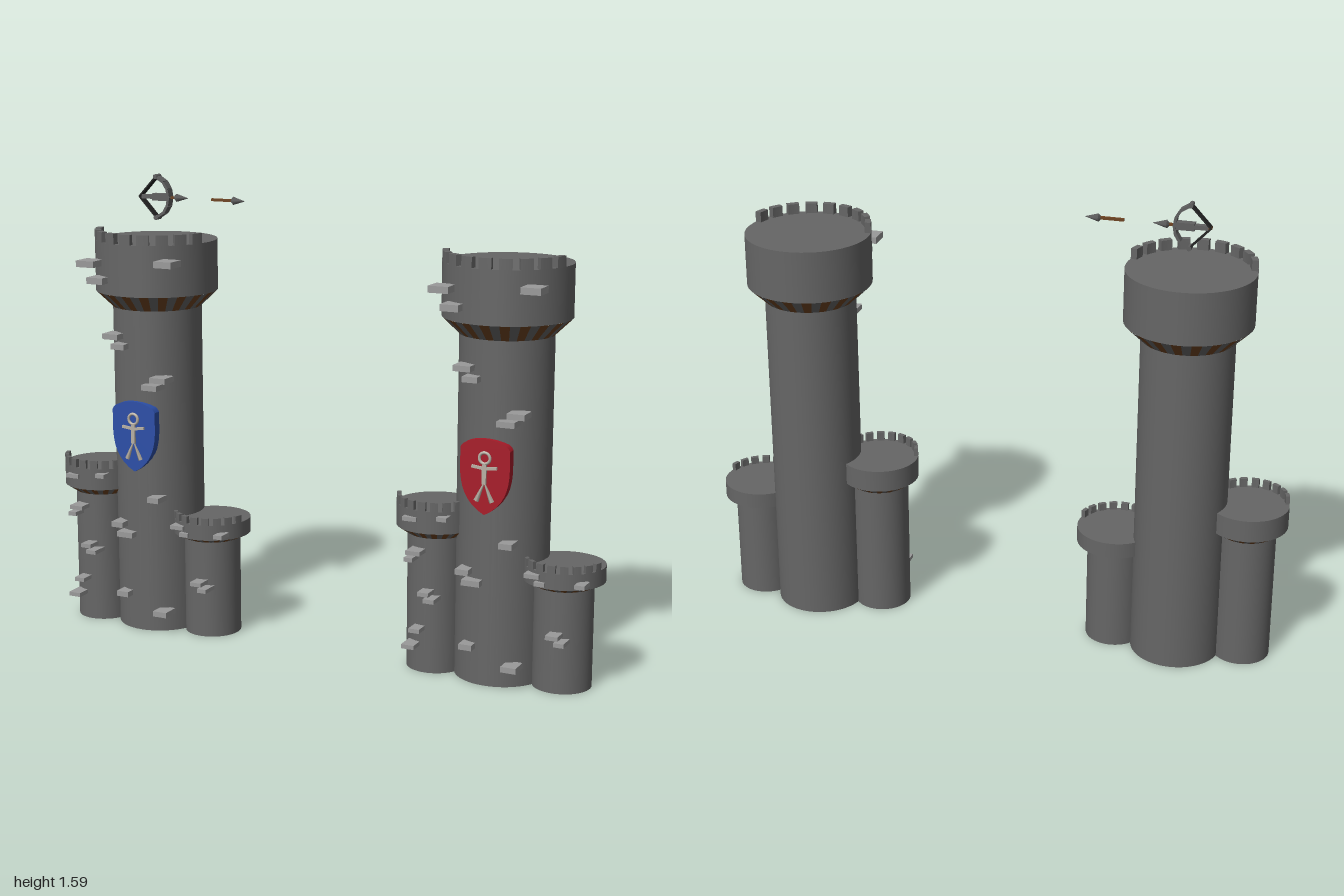
import * as THREE from 'three';

const mat = (color, side = THREE.FrontSide) => new THREE.MeshStandardMaterial({ color, side });
const stone = mat(0x666666);
const brickStone = mat(0x9a9a9a);
const wood = mat(0x6e4320);
const iron = mat(0x606060);
const cord = mat(0x222222);
const bone = mat(0xb8b0a4);

function add(parent, name, geometry, material, x = 0, y = 0, z = 0) {
  const mesh = new THREE.Mesh(geometry, material);
  mesh.name = name;
  mesh.position.set(x, y, z);
  parent.add(mesh);
  return mesh;
}

// Solid arc of a ring, centred on the direction `angle` (0 = +x, PI/2 = +z)
function ringBlock(r0, r1, angle, half, height) {
  const s = new THREE.Shape();
  s.absarc(0, 0, r1, -angle - half, -angle + half, false);
  s.absarc(0, 0, r0, -angle + half, -angle - half, true);
  const g = new THREE.ExtrudeGeometry(s, { depth: height, bevelEnabled: false, curveSegments: 4 });
  return g.rotateX(-Math.PI / 2);
}

// Round tower: shaft, striped flare, wide head, battlements along the front half
function tower(name, o) {
  const g = new THREE.Group();
  g.name = name;
  g.position.set(o.x, 0, o.z);
  add(g, 'shaft', new THREE.CylinderGeometry(o.r, o.r, o.flare, 48), stone, 0, o.flare / 2, 0);
  const fh = o.head - o.flare;
  const step = Math.PI / o.corbels;
  for (let i = 0; i < o.corbels * 2; i++) {
    const wedge = new THREE.CylinderGeometry(o.R, o.r, fh, 3, 1, true, (i - 0.5) * step, step);
    add(g, i % 2 ? 'flareStone' : 'flareCorbel', wedge, i % 2 ? stone : wood, 0, o.flare + fh / 2, 0);
  }
  const hh = o.top - o.head;
  add(g, 'head', new THREE.CylinderGeometry(o.R, o.R, hh, 48), stone, 0, o.head + hh / 2, 0);
  for (let i = 0; i < o.merlons; i++) {
    const a = THREE.MathUtils.degToRad(18 + (144 * i) / (o.merlons - 1));
    add(g, 'merlon', ringBlock(o.R * 0.9, o.R, a, 0.1, o.crest - o.top), stone, 0, o.top, 0);
  }
  return g;
}

// Bricks as [x, y, width], between two depths
function bricks(parent, list, back, front, height) {
  for (const [x, y, w] of list)
    add(parent, 'brick', new THREE.BoxGeometry(w, height, front - back), brickStone, x, y, (back + front) / 2);
}

// Heater shield with a simple standing figure
function shield(color) {
  const g = new THREE.Group();
  g.name = 'shield';
  const s = new THREE.Shape();
  s.moveTo(0, 0.125);
  s.quadraticCurveTo(0.04, 0.125, 0.07, 0.108);
  s.quadraticCurveTo(0.078, 0.103, 0.084, 0.092);
  s.bezierCurveTo(0.08, 0.04, 0.105, -0.07, 0, -0.122);
  s.bezierCurveTo(-0.105, -0.07, -0.08, 0.04, -0.084, 0.092);
  s.quadraticCurveTo(-0.078, 0.103, -0.07, 0.108);
  s.quadraticCurveTo(-0.04, 0.125, 0, 0.125);
  add(g, 'plate', new THREE.ExtrudeGeometry(s, { depth: 0.03, bevelEnabled: false }), mat(color), 0, 0, -0.03);
  const f = new THREE.Group();
  f.name = 'figure';
  add(f, 'figureHead', new THREE.TorusGeometry(0.018, 0.005, 8, 24), bone, 0, 0.064, 0.003);
  add(f, 'figureBody', new THREE.BoxGeometry(0.014, 0.065, 0.01), bone, 0, 0.012, 0.003);
  for (const k of [-1, 1]) {
    const arm = add(f, 'figureArm', new THREE.BoxGeometry(0.042, 0.009, 0.01), bone, k * 0.022, 0.033, 0.003);
    arm.rotation.z = k * 0.12;
    const leg = add(f, 'figureLeg', new THREE.CylinderGeometry(0.003, 0.009, 0.06, 4), bone, k * 0.015, -0.05, 0.003);
    leg.rotation.z = k * 0.4;
    leg.scale.z = 0.6;
  }
  g.add(f);
  return g;
}

// Three towers with their scattered bricks and shield
function keep(name, x, color) {
  const g = new THREE.Group();
  g.name = name;
  g.position.x = x;
  g.add(
    tower('mainTower', { x: 0, z: -0.012, r: 0.153, R: 0.21, flare: 1.135, head: 1.19, top: 1.365, crest: 1.4, corbels: 20, merlons: 9 }),
    tower('tallSideTower', { x: -0.222, z: 0.015, r: 0.096, R: 0.133, flare: 0.46, head: 0.485, top: 0.56, crest: 0.59, corbels: 20, merlons: 9 }),
    tower('lowSideTower', { x: 0.222, z: 0.015, r: 0.097, R: 0.133, flare: 0.34, head: 0.357, top: 0.41, crest: 0.435, corbels: 20, merlons: 9 })
  );
  bricks(g, [[-0.145, 1.295, 0.068], [-0.108, 1.24, 0.062], [0.158, 1.31, 0.066]], 0.15, 0.22, 0.022);
  bricks(g, [
    [-0.083, 1.043, 0.06], [-0.055, 1.01, 0.052], [0.1, 0.905, 0.06], [0.067, 0.877, 0.06], [0.074, 0.483, 0.045],
    [-0.072, 0.38, 0.045], [-0.042, 0.347, 0.062], [-0.056, 0.13, 0.045], [0.093, 0.075, 0.052]
  ], 0.105, 0.17, 0.019);
  bricks(g, [
    [-0.247, 0.418, 0.05], [-0.263, 0.394, 0.03], [-0.21, 0.283, 0.038], [-0.19, 0.262, 0.038], [-0.24, 0.155, 0.038],
    [-0.262, 0.097, 0.045], [0.232, 0.2, 0.042], [0.256, 0.18, 0.035]
  ], 0.09, 0.16, 0.014);
  bricks(g, [[-0.262, 0.53, 0.05], [-0.15, 0.541, 0.035], [0.158, 0.393, 0.05], [0.185, 0.37, 0.035], [0.318, 0.378, 0.033]], 0.1, 0.155, 0.014);
  const s = shield(color);
  s.position.set(-0.004, 0.697, 0.155);
  g.add(s);
  return g;
}

// Four-sided arrow head pointing along +x
function arrowHead(parent, x, y, z, length, radius) {
  const tip = add(parent, 'arrowHead', new THREE.ConeGeometry(radius, length * 0.78, 4), iron, x + length * 0.61, y, z);
  tip.rotation.z = -Math.PI / 2;
  const root = add(parent, 'arrowHeadRoot', new THREE.ConeGeometry(radius, length * 0.22, 4), iron, x + length * 0.11, y, z);
  root.rotation.z = Math.PI / 2;
  tip.material = root.material = iron;
}

// Flat bar between two points in the xy plane
function bar(parent, name, a, b, thick, depth, material) {
  const m = add(parent, name, new THREE.BoxGeometry(Math.hypot(b[0] - a[0], b[1] - a[1]), thick, depth), material,
    (a[0] + b[0]) / 2, (a[1] + b[1]) / 2, 0);
  m.rotation.z = Math.atan2(b[1] - a[1], b[0] - a[0]);
}

// Drawn bow floating over the first keep
function bow() {
  const g = new THREE.Group();
  g.name = 'bow';
  g.position.set(-0.637, 1.508, -0.012);
  const limb = [[0, 0.07], [0.03, 0.052], [0.045, 0.028], [0.05, 0]];
  for (const k of [-1, 1]) {
    for (let i = 0; i < 3; i++)
      bar(g, 'limb', [limb[i][0], limb[i][1] * k], [limb[i + 1][0], limb[i + 1][1] * k], 0.009, 0.03, iron);
    bar(g, 'string', [0, 0.07 * k], [-0.066, 0], 0.005, 0.026, cord);
    add(g, 'limbTip', new THREE.CylinderGeometry(0.008, 0.008, 0.032, 10).rotateX(Math.PI / 2), iron, 0, 0.07 * k, 0);
  }
  add(g, 'stock', new THREE.BoxGeometry(0.065, 0.024, 0.026), iron, 0.018, 0, 0);
  add(g, 'stockRear', new THREE.BoxGeometry(0.045, 0.014, 0.02), iron, -0.035, 0, 0);
  add(g, 'boltShaft', new THREE.BoxGeometry(0.145, 0.008, 0.008), wood, 0.004, 0, 0);
  arrowHead(g, 0.062, 0, 0, 0.06, 0.014);
  return g;
}

function looseArrow() {
  const g = new THREE.Group();
  g.name = 'looseArrow';
  g.position.set(-0.425, 1.508, -0.012);
  add(g, 'arrowShaft', new THREE.BoxGeometry(0.085, 0.009, 0.009), wood, 0.0425, 0, 0);
  arrowHead(g, 0.07, 0, 0, 0.058, 0.014);
  return g;
}

export function createModel() {
  const model = new THREE.Group();
  model.name = 'twinKeeps';
  model.add(keep('blueKeep', -0.645, 0x2c4fa8), keep('redKeep', 0.645, 0xa81a28), bow(), looseArrow());
  return model;
}
